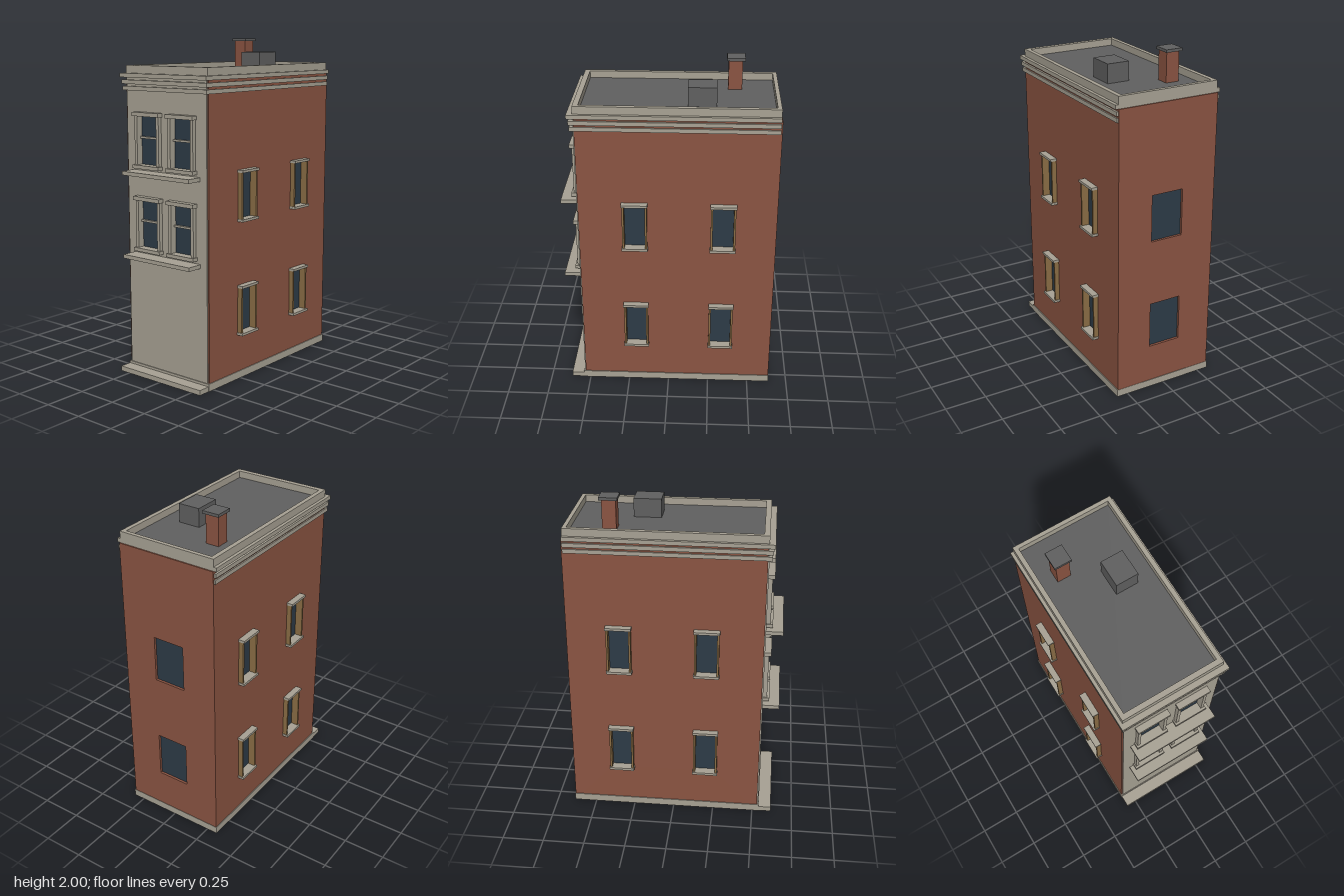
import * as THREE from 'three';

const mat = (name, color) => {
  const m = new THREE.MeshStandardMaterial({ color });
  m.name = name;
  return m;
};

export function createModel() {
  const brick = mat('brick', 0x8b5442);
  const stone = mat('stone', 0xa8a294);
  const slate = mat('slate', 0x606060);
  const glass = mat('glass', 0x2d3b47);
  const timber = mat('timber', 0x8a6d45);

  const model = new THREE.Group();
  model.name = 'townHouse';

  // Box given by its limits on each axis
  const box = (parent, name, material, x0, x1, y0, y1, z0, z1) => {
    const mesh = new THREE.Mesh(new THREE.BoxGeometry(x1 - x0, y1 - y0, z1 - z0), material);
    mesh.position.set((x0 + x1) / 2, (y0 + y1) / 2, (z0 + z1) / 2);
    mesh.name = name;
    parent.add(mesh);
  };

  const rect = (path, x0, x1, y0, y1) =>
    path.moveTo(x0, y0).lineTo(x1, y0).lineTo(x1, y1).lineTo(x0, y1).closePath();

  // Wall slab with window openings; local +z points outward, z = 0 is the core face
  const wall = (name, material, u0, u1, depth, distance, angle, windows) => {
    const group = new THREE.Group();
    group.name = name;
    const shape = rect(new THREE.Shape(), u0, u1, 0.005, 1.78);
    for (const w of windows) {
      shape.holes.push(rect(new THREE.Path(), w.u - w.half, w.u + w.half, w.y0, w.y1));
      box(group, 'windowPane', glass, w.u - w.half, w.u + w.half, w.y0, w.y1, 0, 0.005);
    }
    const slab = new THREE.Mesh(
      new THREE.ExtrudeGeometry(shape, { depth, bevelEnabled: false }), material);
    slab.name = name + 'Slab';
    group.add(slab);
    group.rotation.y = angle;
    group.position.set(Math.sin(angle) * distance, 0, Math.cos(angle) * distance);
    model.add(group);
    return group;
  };

  // Core behind the wall slabs
  box(model, 'core', brick, -0.295, 0.295, 0.005, 1.775, -0.615, 0.515);

  // Side walls with projecting window surrounds
  const rows = [[0.28, 0.565], [0.965, 1.25]];
  for (const s of [1, -1]) {
    const windows = [];
    for (const z of [0.198, -0.322])
      for (const [y0, y1] of rows) windows.push({ u: -s * z, half: 0.064, y0, y1 });
    const [a, b] = s > 0 ? [-0.53, 0.635] : [-0.635, 0.53];
    const side = wall(s > 0 ? 'leftWall' : 'rightWall', brick, a, b, 0.02, 0.295, s * Math.PI / 2, windows);
    for (const { u, y0, y1 } of windows) {
      for (const d of [-1, 1]) {
        const c = u + d * 0.067;
        box(side, 'windowJamb', timber, c - 0.006, c + 0.006, y0, y1, 0.004, 0.05);
      }
      box(side, 'windowLintel', stone, u - 0.077, u + 0.077, y1 - 0.005, y1 + 0.01, 0.004, 0.06);
      box(side, 'windowSill', stone, u - 0.077, u + 0.077, y0 - 0.008, y0 + 0.007, 0.004, 0.06);
    }
  }

  // Back wall with plain recessed windows
  wall('backWall', brick, -0.296, 0.296, 0.02, 0.615, Math.PI,
    rows.map(([y0, y1]) => ({ u: 0, half: 0.1, y0, y1 })));

  // Stone front with paired sash windows
  const sashes = [];
  for (const u of [-0.13, 0.13])
    for (const y0 of [0.775, 1.27]) sashes.push({ u, half: 0.076, y0, y1: y0 + 0.292 });
  const front = wall('frontWall', stone, -0.306, 0.306, 0.022, 0.515, 0, sashes);
  for (const { u, y0, y1 } of sashes) {
    for (const d of [-1, 1]) {
      const c = u + d * 0.085;
      box(front, 'sashJamb', stone, c - 0.01, c + 0.01, y0, y1, 0.002, 0.046);
    }
    box(front, 'sashRail', stone, u - 0.076, u + 0.076, y0 + 0.158, y0 + 0.17, 0.002, 0.02);
    box(front, 'sashLintel', stone, u - 0.103, u + 0.103, y1 - 0.002, y1 + 0.021, 0.002, 0.06);
    box(front, 'sashSill', stone, u - 0.103, u + 0.103, y0 - 0.016, y0 + 0.005, 0.002, 0.06);
  }
  for (const y of [0.72, 1.218])
    box(model, 'frontLedge', stone, -0.258, 0.258, y, y + 0.023, 0.52, 0.637);

  // Base course and front step
  box(model, 'baseCourse', stone, -0.32, 0.32, 0, 0.045, -0.637, 0.542);
  box(model, 'frontStep', stone, -0.317, 0.317, 0, 0.03, 0.53, 0.617);

  // Stepped cornice bands
  [[1.705, 0.323, 0.555], [1.742, 0.327, 0.56], [1.78, 0.332, 0.569]].forEach(([y, x, z]) =>
    box(model, 'corniceBand', stone, -x, x, y, y + 0.024, -0.628, z));

  // Parapet ring
  const ring = rect(new THREE.Shape(), -0.313, 0.313, -0.535, 0.628);
  ring.holes.push(rect(new THREE.Path(), -0.286, 0.286, -0.503, 0.604));
  const parapet = new THREE.Mesh(
    new THREE.ExtrudeGeometry(ring, { depth: 0.07, bevelEnabled: false }), stone);
  parapet.rotation.x = -Math.PI / 2;
  parapet.position.y = 1.779;
  parapet.name = 'parapet';
  model.add(parapet);

  // Roof deck, chimney and hatch; the deck covers the cornice bands
  box(model, 'roofDeck', slate, -0.29, 0.29, 1.77, 1.807, -0.608, 0.507);
  box(model, 'chimney', brick, -0.196, -0.114, 1.78, 1.985, -0.417, -0.335);
  box(model, 'chimneyCap', slate, -0.207, -0.103, 1.983, 2, -0.432, -0.325);
  box(model, 'roofHatch', slate, 0.04, 0.177, 1.78, 1.92, -0.27, -0.105);

  return model;
}
